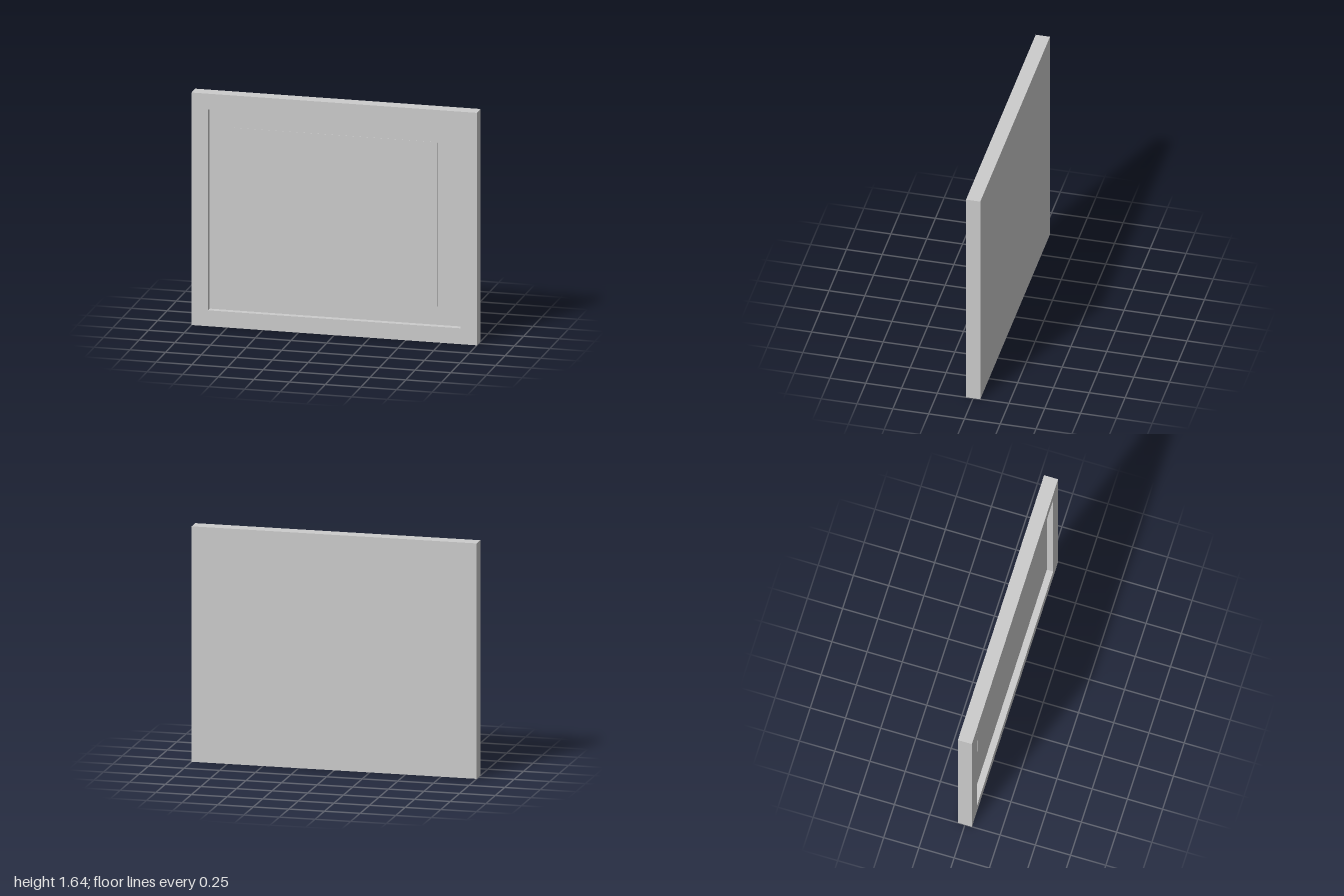
import * as THREE from 'three';

const WIDTH = 2, HEIGHT = 1.64, DEPTH = 0.1;
const PANEL_FRONT = 0.005;

// Extrudes a polygon between two z positions
function slab(name, points, zBack, zFront, material) {
  const shape = new THREE.Shape(points.map(([x, y]) => new THREE.Vector2(x, y)));
  const geometry = new THREE.ExtrudeGeometry(shape, { depth: zFront - zBack, bevelEnabled: false });
  geometry.translate(0, 0, zBack);
  const mesh = new THREE.Mesh(geometry, material);
  mesh.name = name;
  return mesh;
}

export function createModel() {
  const model = new THREE.Group();
  model.name = 'pictureFrame';
  const grey = new THREE.MeshStandardMaterial({ color: 0xcccccc });
  grey.name = 'plain grey';

  const back = -DEPTH / 2, front = DEPTH / 2;
  const outer = [[-WIDTH / 2, 0], [WIDTH / 2, 0], [WIDTH / 2, HEIGHT], [-WIDTH / 2, HEIGHT]];
  const inner = [[-0.885, 0.112], [0.885, 0.112], [0.885, 1.53], [-0.885, 1.53]];

  // Four mitred rails around the opening
  ['bottomRail', 'leftRail', 'topRail', 'rightRail'].forEach((name, i) => {
    const j = (i + 1) % 4;
    model.add(slab(name, [outer[i], outer[j], inner[j], inner[i]], back, front, grey));
  });

  // Recessed backing board that fills the opening
  model.add(slab('backingBoard', inner, back, PANEL_FRONT, grey));

  // Thin, slightly skewed sheet on the board
  const sheet = [[-0.755, 0.21], [0.715, 0.24], [0.715, 1.4], [-0.715, 1.4]];
  model.add(slab('pictureSheet', sheet, PANEL_FRONT, PANEL_FRONT + 0.002, grey));

  return model;
}
